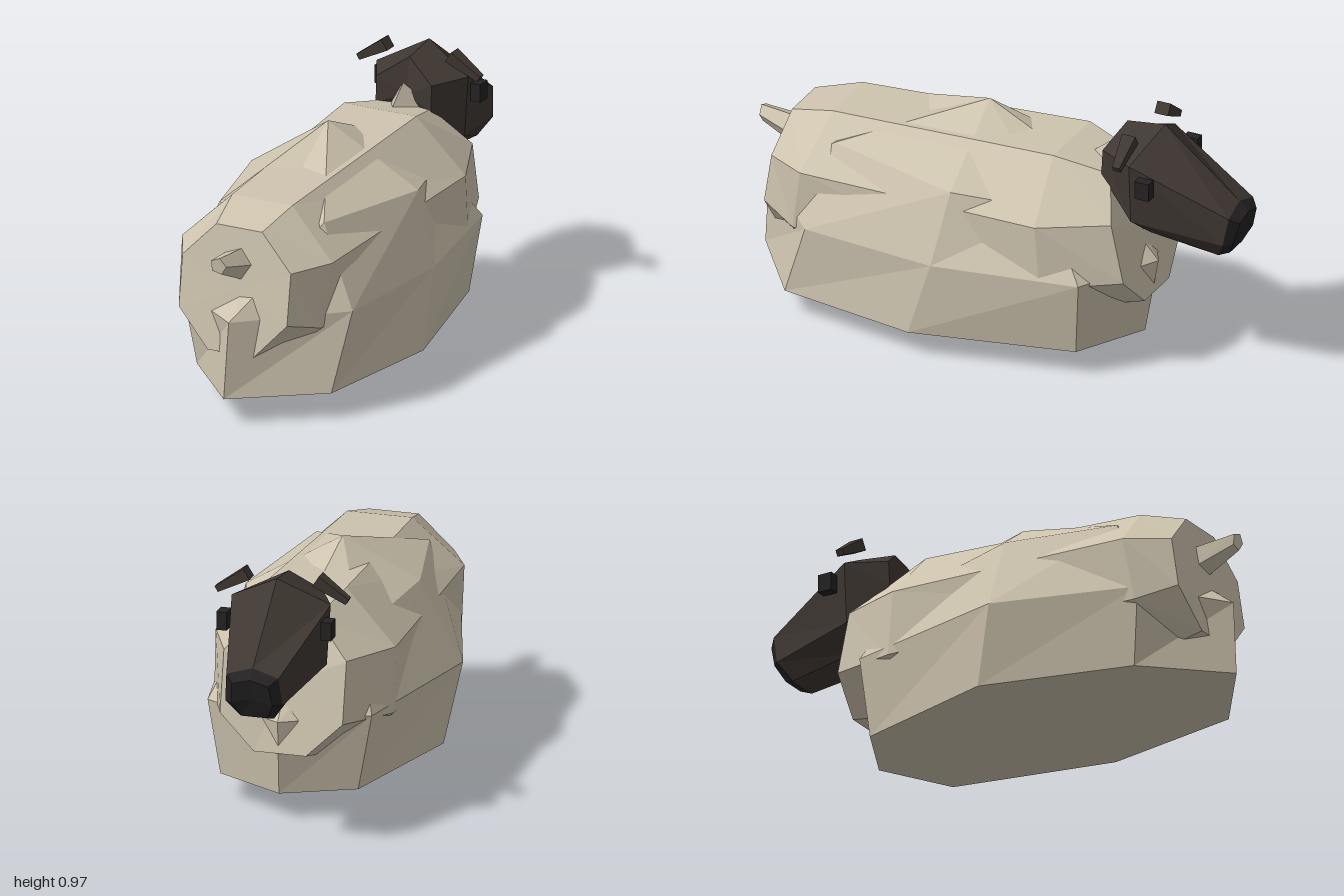
import * as THREE from 'three';

const CX = 0.015; // mirror axis of the animal

const mat = (color) => new THREE.MeshStandardMaterial({ color, flatShading: true });
const WOOL = mat(0xcdc3ae), SKIN = mat(0x3f3732), DARK = mat(0x242222);

// Mirrors a half section (listed from top to bottom) into a closed ring.
function mirrorRing(half) {
  const right = half.map(([x, y, z]) => [CX + x, y, z]);
  const left = half.filter(p => p[0] > 0).reverse().map(([x, y, z]) => [CX - x, y, z]);
  return [...right, ...left];
}

const centre = (ring) => [0, 1, 2].map(k => ring.reduce((s, p) => s + p[k], 0) / ring.length);

// Skins a list of rings and closes both ends with a fan to an apex.
function loft(rings, start = centre(rings[0]), end = centre(rings[rings.length - 1])) {
  const tris = [], n = rings[0].length, last = rings[rings.length - 1];
  for (let i = 0; i < n; i++) {
    const j = (i + 1) % n;
    tris.push([start, rings[0][j], rings[0][i]]);
    for (let r = 0; r + 1 < rings.length; r++) {
      const a = rings[r], b = rings[r + 1];
      tris.push([a[i], a[j], b[j]], [a[i], b[j], b[i]]);
    }
    tris.push([end, last[i], last[j]]);
  }
  // turn the faces outward if the enclosed volume is negative
  let volume = 0;
  const [a, b, c] = [0, 1, 2].map(() => new THREE.Vector3());
  for (const t of tris) {
    a.fromArray(t[0]); b.fromArray(t[1]); c.fromArray(t[2]);
    volume += a.dot(b.cross(c));
  }
  if (volume < 0) tris.forEach(t => t.reverse());
  const geo = new THREE.BufferGeometry();
  geo.setAttribute('position', new THREE.Float32BufferAttribute(tris.flat(2), 3));
  geo.computeVertexNormals();
  return geo;
}

export function createModel() {
  const model = new THREE.Group();
  model.name = 'restingSheep';
  const add = (name, geo, material) => {
    const mesh = new THREE.Mesh(geo, material);
    mesh.name = name;
    model.add(mesh);
    return mesh;
  };

  // Irregular eight-sided fleece resting on the ground
  const base = [[0.03, 0.98], [0.35, 0.74], [0.44, 0.19], [0.30, -0.43],
    [0.03, -0.58], [-0.235, -0.45], [-0.39, 0.12], [-0.23, 0.70]].map(([x, z]) => [x, 0.1, z]);
  const belly = [[0.04, 0.96], [0.385, 0.64], [0.435, 0.1], [0.34, -0.46],
    [0.02, -0.63], [-0.29, -0.46], [-0.44, 0.2], [-0.27, 0.74]].map(([x, z]) => [x, 0.395, z]);
  const back = [[0.03, 0.66, 0.62], [0.24, 0.70, 0.59], [0.35, 0.67, 0.06], [0.24, 0.63, -0.3],
    [0.02, 0.70, -0.35], [-0.2, 0.66, -0.3], [-0.285, 0.71, 0.17], [-0.19, 0.71, 0.6]];
  add('lowerFleece', loft([base, belly, back], [CX, 0, 0.18], [-0.015, 0.885, 0.08]), WOOL);

  // Eight-sided torso from rump to chest
  const torso = [
    [[0.095, 0.72, 0.83], [0.225, 0.585, 0.85], [0.225, 0.39, 0.88], [0.095, 0.25, 0.9]],
    [[0.125, 0.77, 0.65], [0.312, 0.59, 0.69], [0.29, 0.345, 0.73], [0.125, 0.2, 0.76]],
    [[0.15, 0.815, -0.27], [0.345, 0.61, -0.29], [0.345, 0.36, -0.31], [0.15, 0.2, -0.33]],
    [[0.1, 0.765, -0.48], [0.235, 0.63, -0.55], [0.235, 0.4, -0.6], [0.1, 0.27, -0.62]],
  ];
  add('torso', loft(torso.map(mirrorRing)), WOOL);

  // Diamond-section neck
  const neck = [
    [[0, 0.74, -0.30], [0.13, 0.58, -0.38], [0, 0.42, -0.49]],
    [[0, 0.86, -0.45], [0.11, 0.73, -0.54], [0, 0.59, -0.635]],
  ];
  add('neck', loft(neck.map(mirrorRing)), WOOL);

  // Upturned stubby tail
  const tailRing = (y, z, r, tilt) => Array.from({ length: 5 }, (_, i) => {
    const a = (i / 5) * Math.PI * 2 + 0.25;
    return [CX + r * Math.sin(a), y + r * Math.cos(a), z + tilt * Math.cos(a)];
  });
  add('tail', loft([tailRing(0.58, 0.82, 0.066, -0.01), tailRing(0.625, 0.995, 0.034, 0.004)]), WOOL);

  // Head, wide at the brow and narrowing down to the muzzle
  const mouth = [[0, 0.72, -0.96], [0.1, 0.69, -0.965], [0.11, 0.58, -0.945], [0.065, 0.512, -0.905]];
  const head = [
    [[0, 0.945, -0.5], [0.115, 0.865, -0.455], [0.115, 0.765, -0.45], [0.05, 0.72, -0.49]],
    [[0, 0.965, -0.655], [0.19, 0.865, -0.6], [0.175, 0.63, -0.6], [0.08, 0.55, -0.635]],
    mouth,
  ];
  add('head', loft(head.map(mirrorRing)), SKIN);
  const nose = [[0, 0.685, -0.997], [0.07, 0.665, -0.995], [0.08, 0.585, -0.975], [0.05, 0.525, -0.945]];
  add('muzzle', loft([mouth, nose].map(mirrorRing)), DARK);

  for (const [side, s] of [['left', 1], ['right', -1]]) {
    // Eyes
    const eye = add(side + 'Eye', new THREE.BoxGeometry(0.04, 0.07, 0.058), DARK);
    eye.position.set(CX + s * 0.2, 0.792, -0.667);

    // Ears taper toward the drooping tip
    const earRing = (top, low, z0, z1) => [[...top, z0], [...top, z1], [...low, z1], [...low, z0]]
      .map(([x, y, z]) => [CX + s * x, y, z]);
    add(side + 'Ear', loft([
      earRing([0.145, 0.97], [0.12, 0.93], -0.605, -0.55),
      earRing([0.257, 0.888], [0.245, 0.867], -0.595, -0.565),
    ]), SKIN);
  }

  return model;
}
